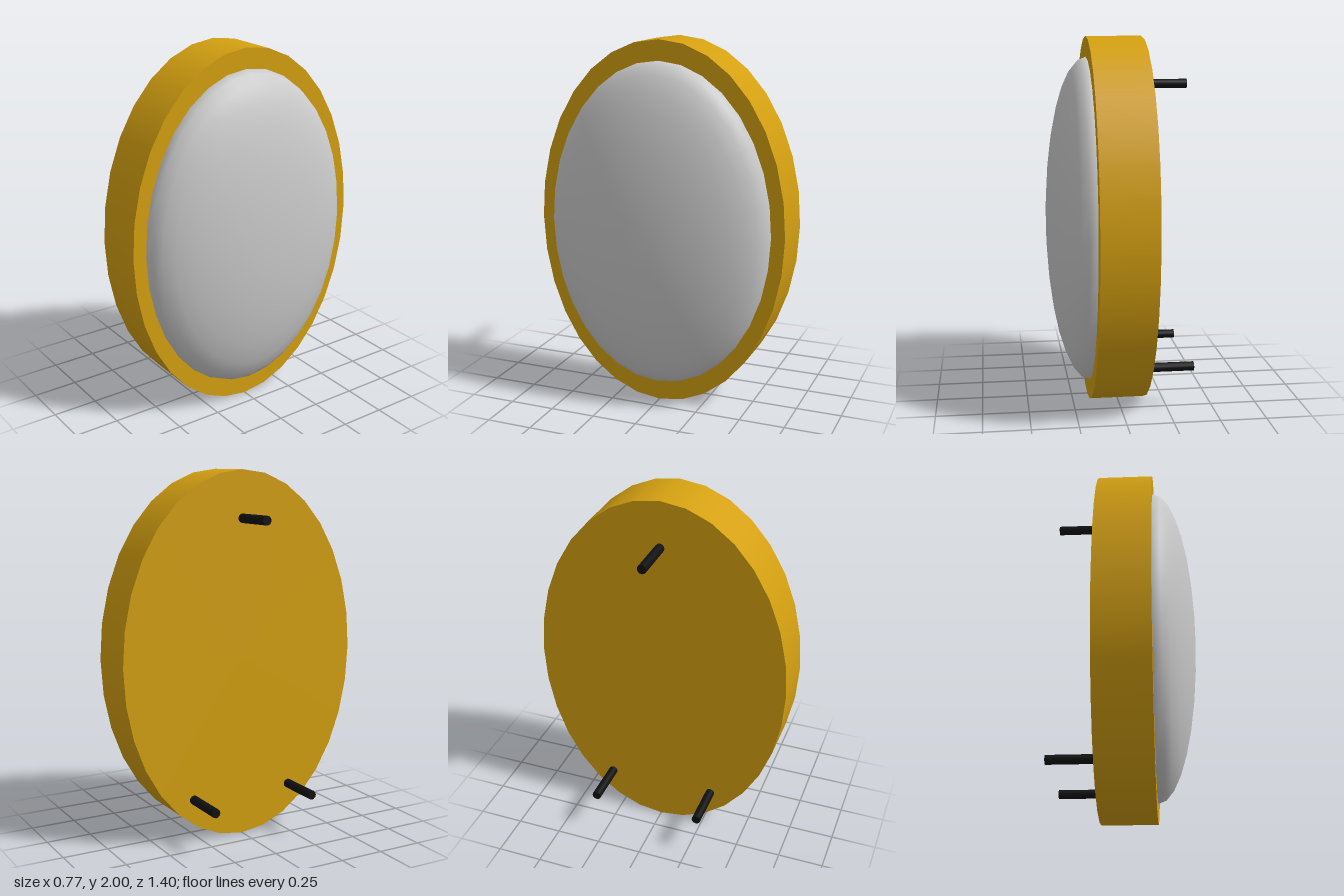
import * as THREE from 'three';

const SEGMENTS = 32;

// Cylinder lying along x between x0 and x1
function cylinderX(radius, x0, x1, segments) {
  const geometry = new THREE.CylinderGeometry(radius, radius, x1 - x0, segments);
  geometry.rotateZ(-Math.PI / 2);
  geometry.translate((x0 + x1) / 2, 0, 0);
  return geometry;
}

export function createModel() {
  const group = new THREE.Group();
  const gold = new THREE.MeshStandardMaterial({ color: 0xd4a011 });
  const grey = new THREE.MeshStandardMaterial({ color: 0xcccccc });
  const black = new THREE.MeshStandardMaterial({ color: 0x111111 });

  const add = (name, geometry, material, y, z = 0) => {
    const mesh = new THREE.Mesh(geometry, material);
    mesh.name = name;
    mesh.position.set(0, y, z);
    group.add(mesh);
  };

  // Oval housing with flat faces
  const housing = cylinderX(1, -0.14, 0.16, SEGMENTS);
  housing.scale(1, 1, 0.7);
  add('housing', housing, gold, 1);

  // Shallow domed lens, half an ellipsoid with its pole along +x
  const lens = new THREE.SphereGeometry(1, SEGMENTS, 8, 0, Math.PI * 2, 0, Math.PI / 2);
  lens.rotateZ(-Math.PI / 2);
  lens.scale(0.22, 0.89, 0.625);
  lens.translate(0.16, 0, 0);
  add('lens', lens, grey, 1);

  // Three mounting pins on the back face
  const pin = cylinderX(0.025, -0.39, -0.14, 12);
  add('topPin', pin, black, 1.745);
  for (const side of [-1, 1]) {
    add(side < 0 ? 'lowerPinBack' : 'lowerPinFront', pin, black, 0.24, side * 0.3);
  }

  return group;
}
